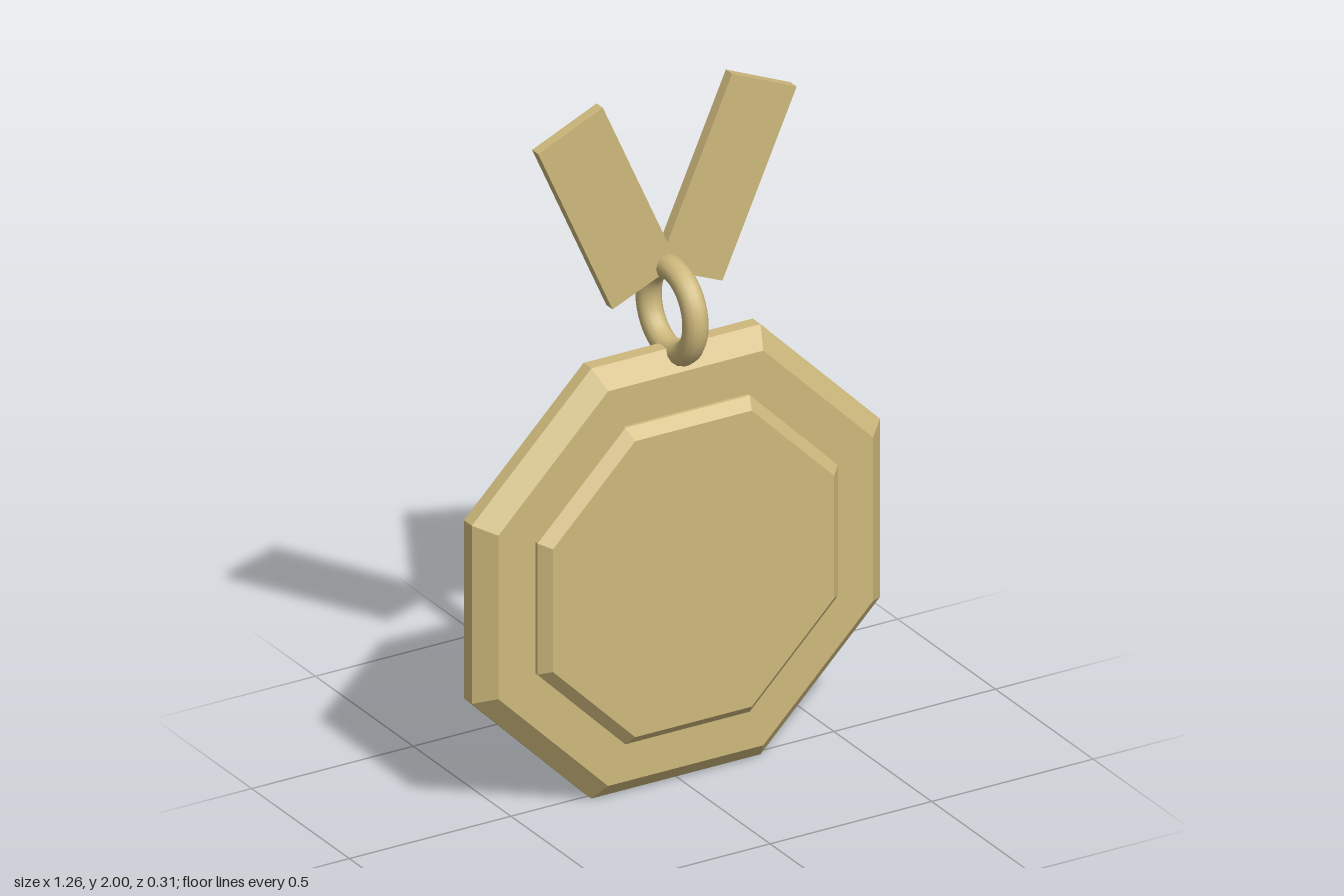
import * as THREE from 'three';

const APOTHEM_TO_RADIUS = 1 / Math.cos(Math.PI / 8);

// Bevelled octagonal disc facing z; profile is half of [apothem, z] from centre to rim
function octagonDisc(name, face, rim, faceZ, rimZ, material) {
  const profile = [[0, -faceZ], [face, -faceZ], [rim, -rimZ], [rim, rimZ], [face, faceZ], [0, faceZ]]
    .map(([a, z]) => new THREE.Vector2(a * APOTHEM_TO_RADIUS, z));
  const geometry = new THREE.LatheGeometry(profile, 8, Math.PI / 8);
  geometry.rotateX(Math.PI / 2);
  const mesh = new THREE.Mesh(geometry, material);
  mesh.name = name;
  mesh.position.set(0, 0.635, -0.002);
  return mesh;
}

export function createModel() {
  const group = new THREE.Group();
  group.name = 'medallion';
  const gold = new THREE.MeshStandardMaterial({ color: 0xcdb87c });
  gold.name = 'pale gold';
  const goldFaceted = gold.clone();
  goldFaceted.flatShading = true;

  // Main plate and the raised panel that stands out on both faces
  group.add(octagonDisc('plate', 0.58, 0.632, 0.07, 0.02, goldFaceted));
  group.add(octagonDisc('raisedPanel', 0.435, 0.465, 0.11, 0.08, goldFaceted));

  // Hanging ring, standing edge-on to the front
  const ring = new THREE.Mesh(new THREE.TorusGeometry(0.12, 0.035, 12, 40), gold);
  ring.name = 'hangingRing';
  ring.rotation.y = Math.PI / 2;
  ring.position.set(0, 1.367, -0.002);
  group.add(ring);

  // V-shaped ribbon passing through the ring
  const half = [[0.2, 2], [0.4, 1.913], [0.17, 1.4]];
  const outline = [
    [0, 1.555], ...half, [0, 1.472],
    ...half.slice().reverse().map(([x, y]) => [-x, y]),
  ].map(([x, y]) => new THREE.Vector2(x, y));
  const ribbon = new THREE.Mesh(
    new THREE.ExtrudeGeometry(new THREE.Shape(outline), { depth: 0.032, bevelEnabled: false }),
    goldFaceted
  );
  ribbon.name = 'ribbon';
  ribbon.position.z = -0.057;
  group.add(ribbon);

  return group;
}
